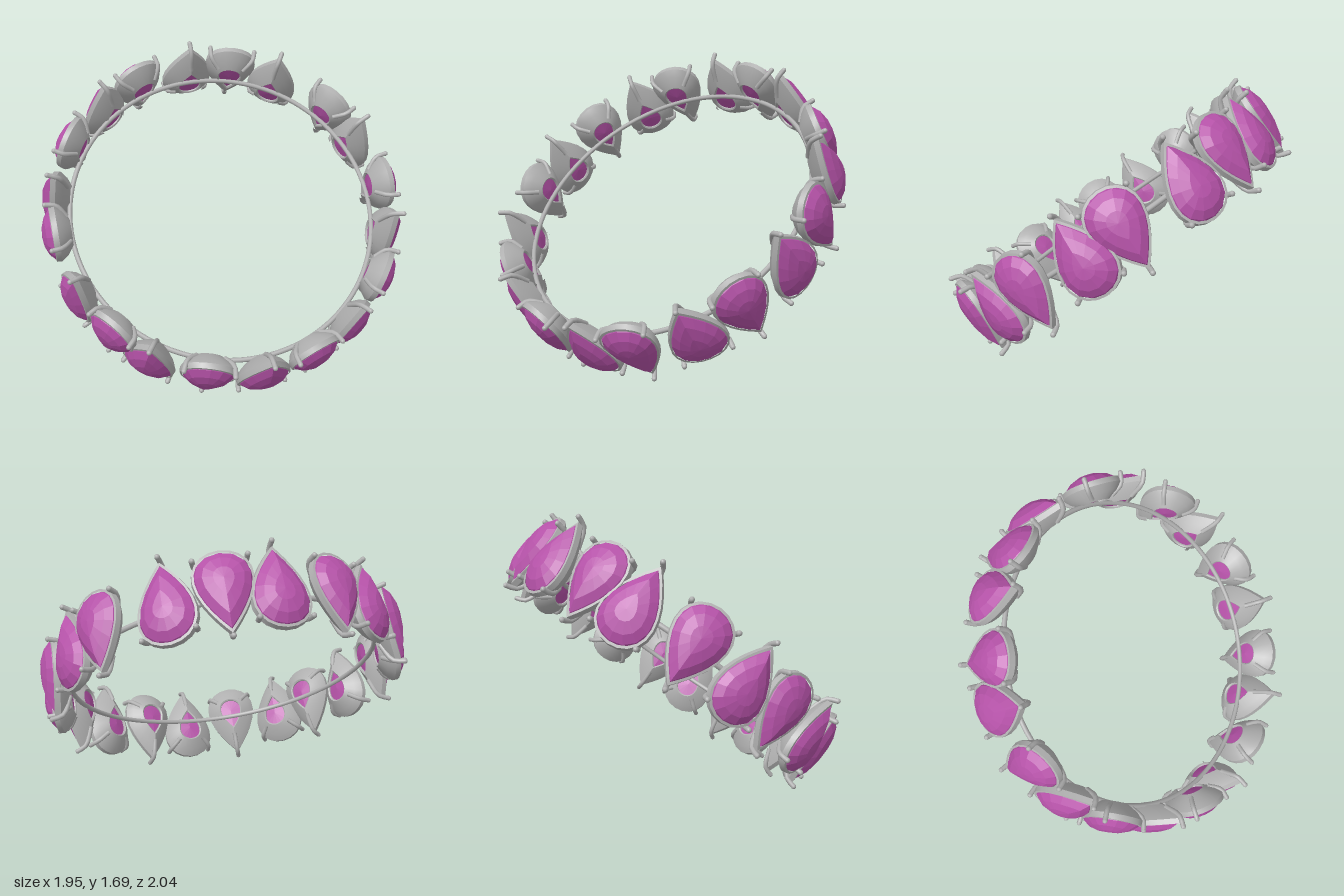
import * as THREE from 'three';
import { toCreasedNormals } from 'three/addons/utils/BufferGeometryUtils.js';

const RADIUS = 0.88, GIRDLE = 0.965, SEGMENTS = 24;
const HEAD_Y = -0.04; // centre of the rounded end of a stone

// Pear outline, tip towards +y, scaled about the rounded end
function pear(a, s, z) {
  const x = 0.188 * Math.sin(a) * Math.sin(a / 2);
  const y = 0.21 * Math.cos(a);
  return new THREE.Vector3(x * s, HEAD_Y + (y - HEAD_Y) * s, z);
}

// Skin through pear sections [scale, z], ordered from front to back
function pearLoft(sections, segments) {
  const positions = [], index = [];
  for (const [s, z] of sections)
    for (let j = 0; j < segments; j++)
      positions.push(...pear((j / segments) * Math.PI * 2, s, z).toArray());
  for (let i = 0; i < sections.length - 1; i++)
    for (let j = 0; j < segments; j++) {
      const k = (j + 1) % segments;
      const a = i * segments + j, b = i * segments + k;
      index.push(a, b, a + segments, b, b + segments, a + segments);
    }
  const g = new THREE.BufferGeometry();
  g.setAttribute('position', new THREE.Float32BufferAttribute(positions, 3));
  g.setIndex(index);
  return g;
}

export function createModel() {
  const stoneMat = new THREE.MeshStandardMaterial({ color: 0xb552a8 });
  stoneMat.name = 'purple stone';
  const metalMat = new THREE.MeshStandardMaterial({ color: 0xb0b0b0 });
  metalMat.name = 'silver metal';

  const add = (parent, name, geometry, material) => {
    const mesh = new THREE.Mesh(geometry, material);
    mesh.name = name;
    parent.add(mesh);
    return mesh;
  };

  // Faceted stone: domed crown, girdle, tapering back
  const stoneGeo = pearLoft([[0, 0.076], [0.35, 0.071], [0.7, 0.052], [0.94, 0.022],
    [1, 0], [0.75, -0.04], [0.46, -0.072], [0, -0.08]], 16).toNonIndexed();
  stoneGeo.computeVertexNormals();

  // Open-backed metal cup
  const cupGeo = toCreasedNormals(pearLoft([[0.96, 0.02], [1.04, 0.018], [1.06, -0.012],
    [0.85, -0.05], [0.5, -0.086], [0.45, -0.08], [0.44, -0.05]], SEGMENTS), 0.7);

  // Prongs at the tip and both corners of the rounded end
  const prongs = [0, 0.76, 1.24].map((f) => {
    const a = f * Math.PI;
    const path = new THREE.CatmullRomCurve3([
      pear(a, 0.62, -0.072), pear(a, 1.04, -0.025), pear(a, 1.13, 0.035)]);
    return { rod: new THREE.TubeGeometry(path, 6, 0.014, 8), end: path.getPoint(1) };
  });
  const tipGeo = new THREE.SphereGeometry(0.0145, 8, 6);

  const model = new THREE.Group();
  model.name = 'bracelet';

  // Tilted frame of the ring: axis, highest direction, level direction
  const axis = new THREE.Vector3(0.53, 0.752, 0.39).normalize();
  const up = new THREE.Vector3(0, 1, 0).addScaledVector(axis, -axis.y).normalize();
  const level = new THREE.Vector3().crossVectors(axis, up);
  const centre = new THREE.Vector3(0, 0.8, 0);

  // Thin wire hoop
  const wire = add(model, 'wireHoop', new THREE.TorusGeometry(RADIUS, 0.014, 8, 120), metalMat);
  wire.quaternion.setFromRotationMatrix(new THREE.Matrix4().makeBasis(up, level, axis));
  wire.position.copy(centre);

  // Slightly uneven places of the stones around the hoop, in degrees
  const places = [-51, -65, -86, -102.5, -122, -139, -158.5, -175, -194, -213,
    -227, -245, -265.5, -281.5, -300, -320, -335, -355, -370.5, -387.5];

  // Set stones, tips pointing alternately down and up
  places.forEach((deg, i) => {
    const t = THREE.MathUtils.degToRad(deg);
    const outward = up.clone().multiplyScalar(Math.cos(t)).addScaledVector(level, Math.sin(t));
    const tipDir = axis.clone().multiplyScalar(i % 2 ? 1 : -1);
    const side = new THREE.Vector3().crossVectors(tipDir, outward);
    const set = new THREE.Group();
    set.name = 'setStone' + (i + 1);
    set.quaternion.setFromRotationMatrix(new THREE.Matrix4().makeBasis(side, tipDir, outward));
    set.position.copy(centre).addScaledVector(outward, GIRDLE);
    add(set, 'stone', stoneGeo, stoneMat);
    add(set, 'cup', cupGeo, metalMat);
    for (const { rod, end } of prongs) {
      add(set, 'prong', rod, metalMat);
      add(set, 'prongTip', tipGeo, metalMat).position.copy(end);
    }
    model.add(set);
  });

  return model;
}
